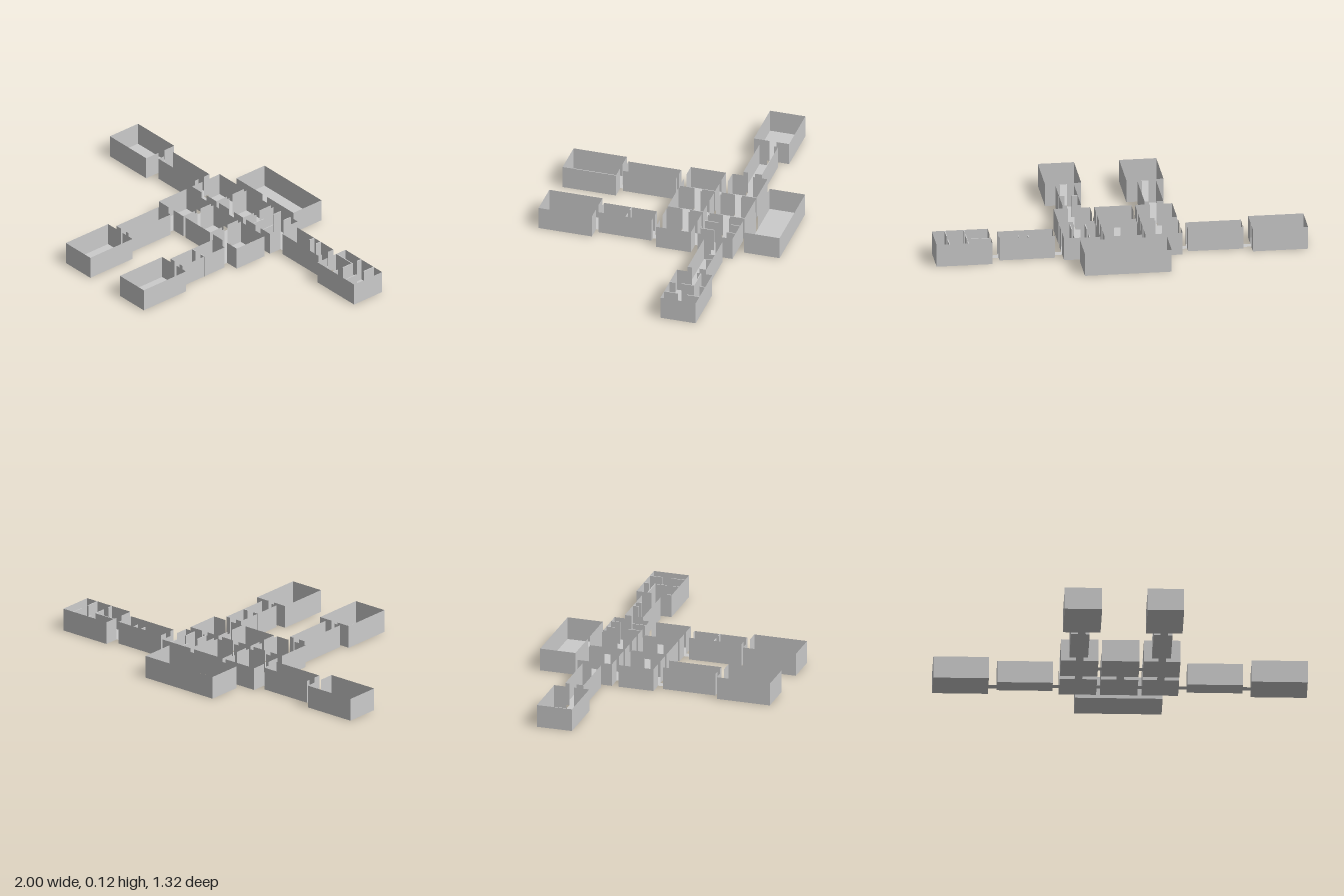
import * as THREE from 'three';

const H = 0.125; // wall height
const mat = new THREE.MeshStandardMaterial({ color: 0xcccccc, side: THREE.DoubleSide, flatShading: true });

// Flat floor patch
function floor(name, [x0, x1, z0, z1]) {
  const g = new THREE.PlaneGeometry(x1 - x0, z1 - z0).rotateX(-Math.PI / 2);
  const m = new THREE.Mesh(g, mat);
  m.position.set((x0 + x1) / 2, 0, (z0 + z1) / 2);
  m.name = name;
  return m;
}

// Upright thin wall between two plan points, thickness t (0 = sheet)
function wall(name, xa, za, xb, zb, t = 0) {
  const len = Math.hypot(xb - xa, zb - za);
  const g = t ? new THREE.BoxGeometry(len, H, t) : new THREE.PlaneGeometry(len, H);
  const m = new THREE.Mesh(g, mat);
  m.position.set((xa + xb) / 2, H / 2, (za + zb) / 2);
  m.rotation.y = -Math.atan2(zb - za, xb - xa);
  m.name = name;
  return m;
}

// Splits the range a..b around an optional door [d0, d1]
const spans = (a, b, d) => (d ? [[a, d[0]], [d[1], b]] : [[a, b]]);

// Room: floor and four walls; doors are ranges along the n, s, w, e sides
function room(name, r, doors = {}) {
  const [x0, x1, z0, z1] = r;
  const g = new THREE.Group();
  g.name = name;
  g.add(floor('roomFloor', r));
  for (const [z, d] of [[z0, doors.n], [z1, doors.s]])
    for (const [a, b] of spans(x0, x1, d)) g.add(wall('outerWall', a, z, b, z));
  for (const [x, d] of [[x0, doors.w], [x1, doors.e]])
    for (const [a, b] of spans(z0, z1, d)) g.add(wall('outerWall', x, a, x, b));
  return g;
}

export function createModel() {
  const model = new THREE.Group();
  model.name = 'floorPlan';

  // Door ranges
  const up = [-0.345, -0.305], low = [-0.12, -0.08], far = [-0.36, -0.32];
  const cols = [
    { x: [-0.325, -0.125], d: [-0.245, -0.205] },
    { x: [-0.105, 0.095], d: [-0.022, 0.018] },
    { x: [0.118, 0.313], d: [0.195, 0.235] },
  ];

  // Far hall
  model.add(room('farHall', [-0.235, 0.232, -0.663, -0.465], { s: [-0.022, 0.018] }));

  // Central block of two rows by three columns
  cols.forEach(({ x, d }, i) => {
    model.add(room('upperRoom', [...x, -0.425, -0.23], { w: up, e: up, s: d }));
    model.add(room('lowerRoom', [...x, -0.193, 0.003], {
      n: d, s: i !== 1 ? d : null, w: i > 0 ? low : null, e: i < 2 ? low : null,
    }));
    model.add(floor('passage', [...d, -0.23, -0.193]));
    if (i < 2) {
      const next = cols[i + 1].x[0];
      model.add(floor('passage', [x[1], next, ...up]));
      model.add(floor('passage', [x[1], next, ...low]));
    }
  });

  // Side wings: corridor room and end room
  model.add(room('rightCorridor', [-0.657, -0.36, -0.383, -0.28], { w: far, e: up }));
  model.add(room('rightEndRoom', [-1, -0.703, -0.43, -0.233], { e: far }));
  model.add(floor('passage', [-0.703, -0.657, ...far]));
  model.add(floor('passage', [-0.36, -0.325, ...up]));
  model.add(room('leftCorridor', [0.358, 0.655, -0.383, -0.28], { w: up, e: up }));
  model.add(room('leftEndRoom', [0.7, 1, -0.43, -0.233], { w: up }));
  model.add(floor('passage', [0.313, 0.358, ...up]));
  model.add(floor('passage', [0.655, 0.7, ...up]));

  // Front wings: narrow room and large room on each side
  for (const i of [0, 2]) {
    const { x, d } = cols[i];
    const c = (x[0] + x[1]) / 2 - (i ? 0.005 : 0.007);
    model.add(room('frontCorridor', [c - 0.05, c + 0.05, 0.043, 0.338], { n: d, s: d }));
    model.add(room('frontEndRoom', [...x, 0.36, 0.657], { n: d }));
    model.add(floor('passage', [...d, 0.003, 0.043]));
    model.add(floor('passage', [...d, 0.338, 0.36]));
  }

  // Inner partitions on the left side: [xa, za, xb, zb]
  const partitions = [
    [0.175, -0.425, 0.175, -0.375], [0.175, -0.305, 0.175, -0.23],
    [0.255, -0.425, 0.255, -0.375], [0.255, -0.305, 0.255, -0.23],
    [0.498, -0.383, 0.498, -0.35], [0.55, -0.383, 0.55, -0.35],
    [0.7, -0.367, 0.828, -0.367],
    [0.828, -0.43, 0.828, -0.4], [0.828, -0.37, 0.828, -0.3], [0.828, -0.265, 0.828, -0.233],
    [0.93, -0.43, 0.93, -0.36], [0.93, -0.31, 0.93, -0.233],
    [0.158, 0.185, 0.192, 0.185], [0.23, 0.185, 0.264, 0.185],
  ];
  for (const p of partitions) model.add(wall('partition', ...p, 0.005));

  return model;
}
